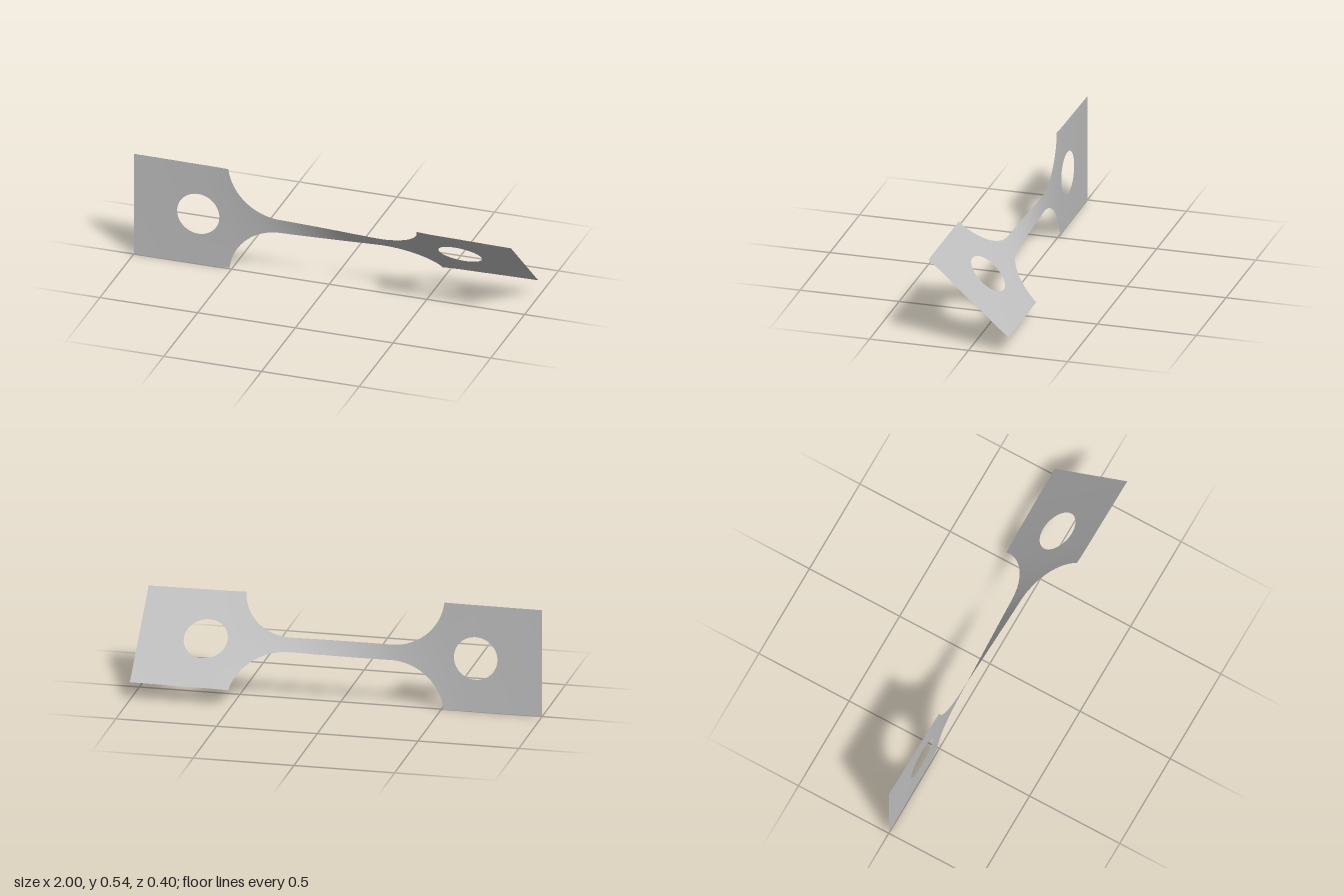
import * as THREE from 'three';
import { mergeVertices } from 'three/addons/utils/BufferGeometryUtils.js';

const TAB = 0.271, NECK = 0.038;           // half widths of the tab and the neck
const HOLE_X = 0.67, HOLE_R = 0.108;
const FILLET_X = 0.25, FILLET_R = 0.265;   // concave shoulder arcs
const ARC_END = FILLET_X + Math.sqrt(FILLET_R ** 2 - (NECK + FILLET_R - TAB) ** 2);

// Half width of the strip at x
function outer(x) {
  const d = Math.abs(x) - FILLET_X;
  if (d <= 0) return NECK;
  if (Math.abs(x) >= ARC_END - 1e-6) return TAB;
  return NECK + FILLET_R - Math.sqrt(FILLET_R ** 2 - d * d);
}

// Half height of the round hole at x
function inner(x) {
  const d = Math.abs(x) - HOLE_X;
  return Math.sqrt(Math.max(0, HOLE_R ** 2 - d * d));
}

// Twist in degrees: nearly flat tabs, steady twist along the neck
const keys = [[-1, 0], [-0.75, 0.7], [-0.5, 2], [-0.27, 7.5], [0, 24], [0.27, 40.5], [0.5, 46], [0.75, 47.3], [1, 48]];
function twist(x) {
  let i = 0;
  while (i < keys.length - 2 && x > keys[i + 1][0]) i++;
  const slope = (k) => {
    const a = keys[Math.max(0, k - 1)], b = keys[Math.min(keys.length - 1, k + 1)];
    return (b[1] - a[1]) / (b[0] - a[0]);
  };
  const [x0, y0] = keys[i], [x1, y1] = keys[i + 1];
  const w = x1 - x0, t = (x - x0) / w, t2 = t * t, t3 = t2 * t;
  const deg = (2 * t3 - 3 * t2 + 1) * y0 + (t3 - 2 * t2 + t) * w * slope(i)
    + (3 * t2 - 2 * t3) * y1 + (t3 - t2) * w * slope(i + 1);
  return THREE.MathUtils.degToRad(deg);
}

// Columns along one half, closer together where the outline turns fast
function columns() {
  const half = [];
  for (let i = 0; i < 12; i++) half.push(FILLET_X * i / 12);
  const a1 = Math.asin((ARC_END - FILLET_X) / FILLET_R);
  for (let i = 0; i <= 28; i++) half.push(FILLET_X + FILLET_R * Math.sin(a1 * i / 28));
  half.push((ARC_END + HOLE_X - HOLE_R) / 2);
  for (let i = 0; i <= 32; i++) half.push(HOLE_X - HOLE_R * Math.cos(Math.PI * i / 32));
  for (let i = 1; i <= 6; i++) half.push(HOLE_X + HOLE_R + (1 - HOLE_X - HOLE_R) * i / 6);
  return [...half.slice(1).reverse().map((x) => -x), ...half];
}

function stripGeometry() {
  const xs = columns(), rows = 6, pos = [], index = [];
  // Upper and lower bands meet on the centre line, or at the hole
  for (const side of [1, -1]) {
    const base = pos.length / 3;
    xs.forEach((x, c) => {
      const lo = side > 0 ? inner(x) : -outer(x);
      const hi = side > 0 ? outer(x) : -inner(x);
      const a = twist(x);
      for (let r = 0; r <= rows; r++) {
        const v = lo + (hi - lo) * r / rows;
        pos.push(x, TAB + v * Math.cos(a), v * Math.sin(a));
        if (c && r) {
          const q = base + c * (rows + 1) + r, p = q - rows - 1;
          index.push(p - 1, q - 1, q, p - 1, q, p);
        }
      }
    });
  }
  const g = new THREE.BufferGeometry();
  g.setAttribute('position', new THREE.Float32BufferAttribute(pos, 3));
  g.setIndex(index);
  const merged = mergeVertices(g, 1e-5);
  merged.computeVertexNormals();
  return merged;
}

export function createModel() {
  const group = new THREE.Group();
  group.name = 'twistedLink';
  const metal = new THREE.MeshStandardMaterial({ color: 0xc0c0c0, side: THREE.DoubleSide });
  metal.name = 'light grey metal';
  const strip = new THREE.Mesh(stripGeometry(), metal);
  strip.name = 'twistedStrip';
  group.add(strip);
  return group;
}
